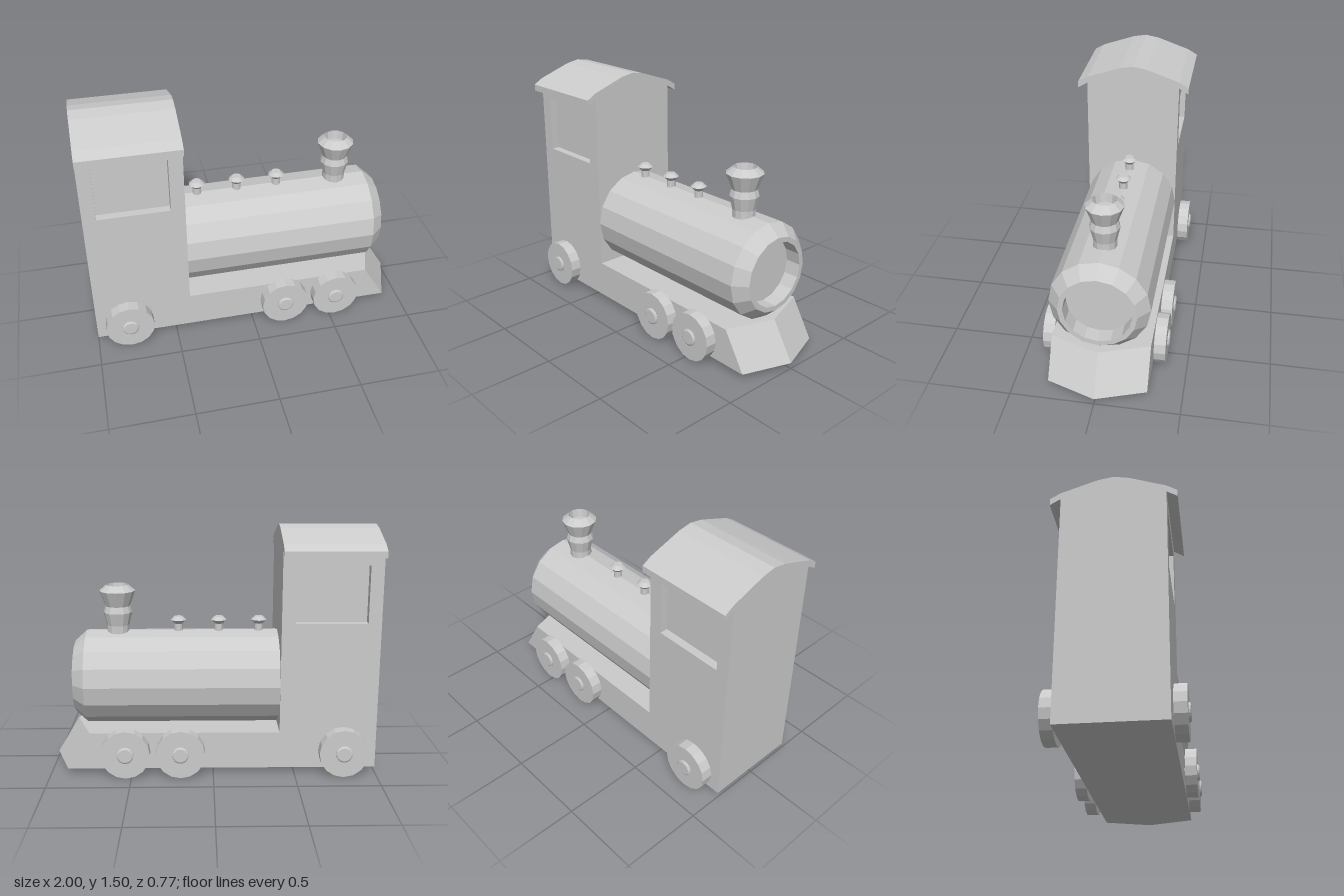
import * as THREE from 'three';

const material = new THREE.MeshStandardMaterial({ color: 0xcccccc, flatShading: true });

function add(parent, name, geometry, x = 0, y = 0, z = 0) {
  const mesh = new THREE.Mesh(geometry, material);
  mesh.name = name;
  mesh.position.set(x, y, z);
  parent.add(mesh);
  return mesh;
}

const points = (list) => list.map(([a, b]) => new THREE.Vector2(a, b));
const extrude = (shape, depth) => new THREE.ExtrudeGeometry(shape, { depth, bevelEnabled: false });
const rect = (x0, y0, x1, y1) => points([[x0, y0], [x1, y0], [x1, y1], [x0, y1]]);

export function createModel() {
  const model = new THREE.Group();
  model.name = 'toyLocomotive';
  const halfWidth = 0.295, cabFront = -0.406, cabLength = 0.594;

  // Chassis with a pointed nose whose lower edge slants forward
  const plan = new THREE.Shape(points([
    [-1, -halfWidth], [0.755, -halfWidth], [0.86, 0], [0.755, halfWidth], [-1, halfWidth],
  ]));
  const chassis = extrude(plan, 0.23).rotateX(-Math.PI / 2);
  const pos = chassis.attributes.position;
  for (let i = 0; i < pos.count; i++) {
    if (pos.getX(i) > 0 && pos.getY(i) < 0.1) pos.setX(i, pos.getX(i) + 0.139);
  }
  chassis.computeVertexNormals();
  add(model, 'chassis', chassis, 0, 0.035, 0);

  // Cab: solid core with a window-pierced panel on each side
  const cab = new THREE.Group();
  cab.name = 'cab';
  model.add(cab);
  const cabBottom = 0.265, cabTop = 1.378, panelDepth = 0.05;
  add(cab, 'cabCore',
    new THREE.BoxGeometry(cabLength, cabTop - cabBottom, 2 * (halfWidth - panelDepth)),
    cabFront - cabLength / 2, (cabTop + cabBottom) / 2, 0);
  const panel = new THREE.Shape(rect(-1, cabBottom, cabFront, cabTop));
  panel.holes.push(new THREE.Path(rect(-0.92, 0.945, -0.49, 1.293)));
  const panelGeometry = extrude(panel, panelDepth);
  add(cab, 'leftSidePanel', panelGeometry, 0, 0, halfWidth - panelDepth);
  add(cab, 'rightSidePanel', panelGeometry, 0, 0, -halfWidth);

  // Curved roof with drooping eaves
  const halfRoof = [[0.295, 1.378], [0.355, 1.342], [0.355, 1.383], [0.295, 1.418], [0.15, 1.468], [0.085, 1.49]];
  const roofOutline = [...halfRoof, [0, 1.505], ...halfRoof.map(([z, y]) => [-z, y]).reverse()];
  add(cab, 'roof', extrude(new THREE.Shape(points(roofOutline)), cabLength).rotateY(Math.PI / 2), -1, 0, 0);

  // Boiler: chamfered front rim and recessed front plate
  const boiler = new THREE.LatheGeometry(points([
    [0, -0.406], [0.295, -0.406], [0.295, 0.785], [0.228, 0.86], [0.198, 0.86], [0.198, 0.765], [0, 0.765],
  ]), 16);
  add(model, 'boiler', boiler.rotateZ(-Math.PI / 2), 0, 0.55, 0);

  // Chimney with a flared top and a shallow opening
  const chimney = new THREE.LatheGeometry(points([
    [0, 0.8], [0.07, 0.8], [0.07, 0.88], [0.089, 0.96], [0.076, 1.0],
    [0.112, 1.095], [0.068, 1.132], [0.06, 1.08], [0, 1.08],
  ]), 12);
  add(model, 'chimney', chimney, 0.59, 0, 0);

  // Small mushroom-shaped valves along the boiler
  const valve = new THREE.LatheGeometry(points([
    [0, 0.82], [0.027, 0.82], [0.027, 0.885], [0.049, 0.909], [0.027, 0.93], [0, 0.93],
  ]), 12);
  for (const x of [-0.29, -0.04, 0.213]) add(model, 'valve', valve, x, 0, 0);

  // Wheels with raised chamfered hubs
  const wheel = new THREE.LatheGeometry(points([
    [0, 0], [0.15, 0], [0.15, 0.07], [0.052, 0.07], [0.052, 0.077], [0.042, 0.083], [0, 0.083],
  ]), 16).rotateX(Math.PI / 2);
  for (const side of [1, -1]) {
    for (const x of [-0.795, 0.2, 0.535]) {
      const mesh = add(model, side > 0 ? 'leftWheel' : 'rightWheel', wheel, x, 0.15, side * 0.302);
      if (side < 0) mesh.rotation.y = Math.PI;
      // Short axle joining wheel and chassis
      add(model, 'axle', new THREE.CylinderGeometry(0.04, 0.04, 0.04, 12).rotateX(Math.PI / 2), x, 0.15, side * 0.295);
    }
  }
  return model;
}
